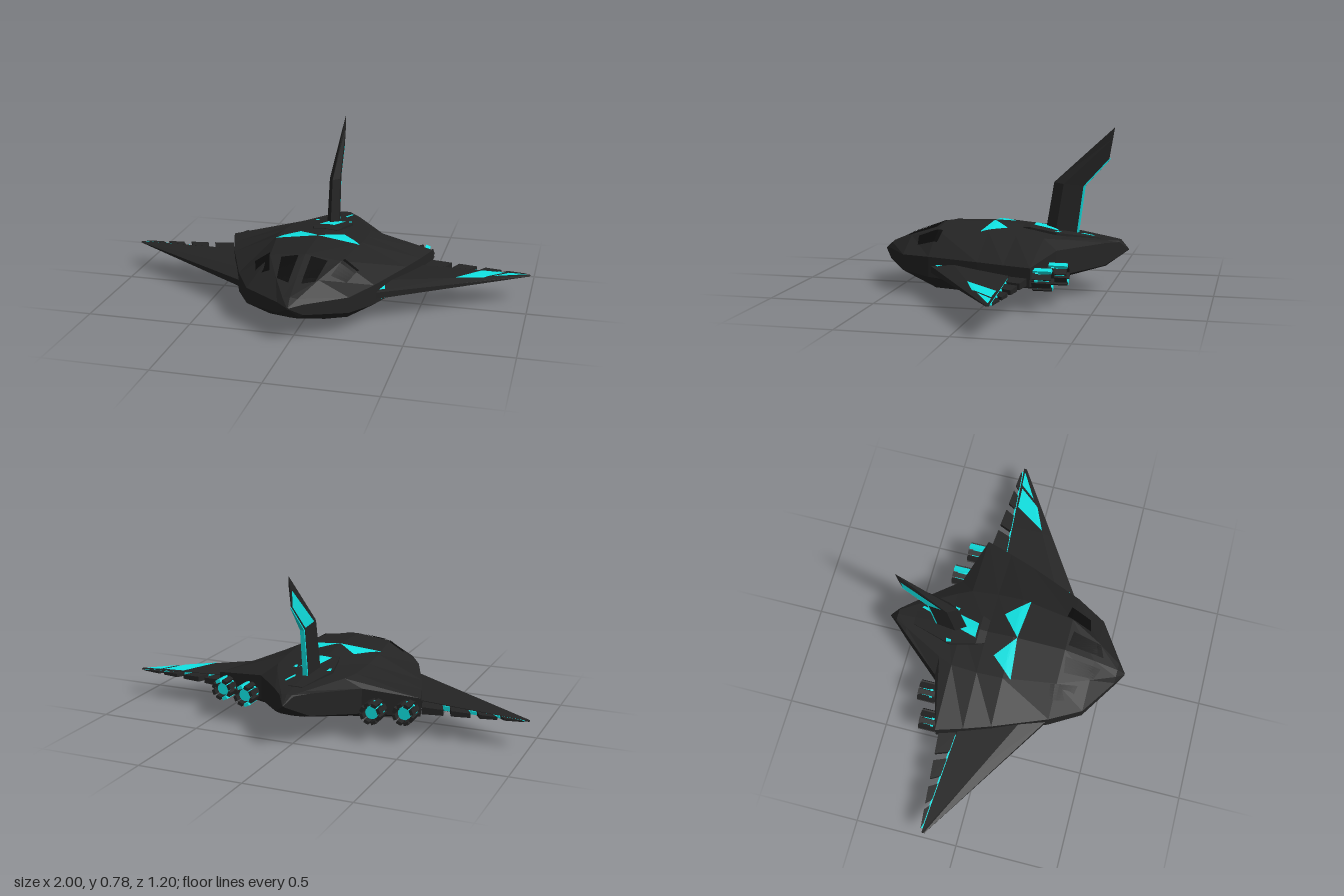
import * as THREE from 'three';

const mat = (color) => new THREE.MeshStandardMaterial({ color, flatShading: true, side: THREE.DoubleSide });
const dark = mat(0x242424), black = mat(0x0c0c0c), glow = mat(0x10e4e4);
const lerp = THREE.MathUtils.lerp;

// Piecewise-linear lookup through [key, value] points sorted by rising key
function along(points, k) {
  let i = 0;
  while (i < points.length - 2 && k > points[i + 1][0]) i++;
  const [a, b] = [points[i], points[i + 1]];
  return lerp(a[1], b[1], THREE.MathUtils.clamp((k - a[0]) / (b[0] - a[0] || 1), 0, 1));
}

function build(name, tris, material) {
  const g = new THREE.BufferGeometry();
  g.setAttribute('position', new THREE.Float32BufferAttribute(tris.flat(2), 3));
  g.computeVertexNormals();
  const mesh = new THREE.Mesh(g, material);
  mesh.name = name;
  return mesh;
}

// Closed solid through rings of equal point count, turned to face outward
function loft(name, rings, material) {
  const tris = [], n = rings[0].length;
  for (let r = 0; r < rings.length - 1; r++) {
    for (let i = 0; i < n; i++) {
      const j = (i + 1) % n, A = rings[r], B = rings[r + 1];
      tris.push([A[i], A[j], B[j]], [A[i], B[j], B[i]]);
    }
  }
  const first = rings[0], last = rings[rings.length - 1];
  for (let i = 1; i < n - 1; i++) {
    tris.push([first[0], first[i + 1], first[i]], [last[0], last[i], last[i + 1]]);
  }
  const v = (p) => new THREE.Vector3(...p);
  const volume = tris.reduce((s, [a, b, c]) => s + v(a).dot(v(b).cross(v(c))), 0);
  if (volume < 0) tris.forEach((t) => t.reverse());
  return build(name, tris, material);
}

// Thin panel over four plan corners [x, z], draped on a height function
function panel(name, [a, b, c, d], height, material, mirror = 1) {
  const n = 6, tris = [];
  const at = (u, w) => {
    const x = lerp(lerp(a[0], b[0], u), lerp(d[0], c[0], u), w);
    const z = lerp(lerp(a[1], b[1], u), lerp(d[1], c[1], u), w);
    return [x * mirror, height(x, z), z];
  };
  for (let i = 0; i < n; i++) for (let j = 0; j < n; j++) {
    const p = at(i / n, j / n), q = at((i + 1) / n, j / n);
    const r = at((i + 1) / n, (j + 1) / n), s = at(i / n, (j + 1) / n);
    tris.push([p, q, r], [p, r, s]);
  }
  const up = new THREE.Vector3().fromArray(tris[0][1]).sub(new THREE.Vector3(...tris[0][0]))
    .cross(new THREE.Vector3(...tris[0][2]).sub(new THREE.Vector3(...tris[0][0]))).y;
  if (up < 0) tris.forEach((t) => t.reverse());
  return build(name, tris, material);
}

// Hull stations: z, half width, top, shoulder x/y, side upper/lower y, keel shoulder x/y, bottom
const hull = [
  [0.6, 0.004, 0.174, 0.003, 0.173, 0.172, 0.168, 0.003, 0.167, 0.166],
  [0.56, 0.06, 0.21, 0.035, 0.205, 0.18, 0.13, 0.04, 0.118, 0.113],
  [0.44, 0.24, 0.262, 0.10, 0.255, 0.185, 0.11, 0.13, 0.07, 0.058],
  [0.29, 0.325, 0.318, 0.17, 0.298, 0.195, 0.10, 0.2, 0.025, 0.002],
  [0.03, 0.43, 0.325, 0.21, 0.302, 0.2, 0.10, 0.29, 0.03, 0.02],
  [-0.1, 0.475, 0.311, 0.21, 0.29, 0.2, 0.105, 0.31, 0.055, 0.045],
  [-0.23, 0.515, 0.292, 0.2, 0.28, 0.2, 0.115, 0.3, 0.085, 0.075],
  [-0.3, 0.255, 0.28, 0.17, 0.273, 0.235, 0.115, 0.2, 0.097, 0.09],
  [-0.5, 0.085, 0.26, 0.06, 0.258, 0.25, 0.145, 0.06, 0.138, 0.135],
  [-0.56, 0.034, 0.255, 0.025, 0.253, 0.248, 0.183, 0.025, 0.18, 0.178],
  [-0.6, 0.003, 0.213, 0.002, 0.212, 0.212, 0.208, 0.002, 0.208, 0.207],
];
const hullRing = ([z, w, top, sx, sy, up, lo, bx, by, bot]) => {
  const half = [[sx, sy, z], [w, up, z], [w, lo, z], [bx, by, z]];
  return [[0, top, z], ...half, [0, bot, z], ...half.map(([x, y]) => [-x, y, z]).reverse()];
};
function hullTop(x, z) {
  const s = [...hull].reverse();
  const get = (i) => along(s.map((h) => [h[0], h[i]]), z);
  return along([[0, get(2)], [get(3), get(4)], [get(1), get(5)]], Math.abs(x));
}
const onHull = (x, z) => hullTop(x, z) + 0.004;

// Wing section rules: leading z, trailing z and half thickness by span
const WING_Y = 0.137;
const span = (x) => (x - 0.3) / 0.7;
const lead = (x) => lerp(0.295, -0.15, span(x));
const trail = (x) => lerp(-0.115, -0.165, span(x));
const thick = (x) => lerp(0.041, 0.003, span(x));
const wingHalf = (x, z) => {
  const l = lead(x), b = trail(x), t = thick(x);
  return along([[b, t * 0.6], [lerp(l, b, 0.25), t], [l, t * 0.4]], z);
};

function makeWing(s) {
  const wing = new THREE.Group();
  wing.name = s > 0 ? 'leftWing' : 'rightWing';
  const ring = (x) => {
    const l = lead(x), b = trail(x), m = lerp(l, b, 0.25);
    const pts = [l, m, b].map((z) => [z, wingHalf(x, z)]);
    return [...pts.map(([z, h]) => [x * s, WING_Y + h, z]),
      ...pts.reverse().map(([z, h]) => [x * s, WING_Y - h, z])];
  };
  wing.add(loft('wingBlade', [0.3, 0.65, 1].map(ring), dark));

  // Glowing line along the trailing edge, with split flaps behind it
  const bar = (x, z0, z1, h, skew = 0) => [[x * s, WING_Y + h, z0], [(x + skew) * s, WING_Y + h, z1],
    [(x + skew) * s, WING_Y - h, z1], [x * s, WING_Y - h, z0]];
  wing.add(loft('trailingGlow', [0.5, 0.98].map((x) =>
    bar(x, trail(x) + 0.01, trail(x) - 0.008, thick(x) * 0.45)), glow));
  for (const [x0, x1] of [[0.49, 0.59], [0.625, 0.715], [0.755, 0.835], [0.865, 0.955]]) {
    wing.add(loft('flap', [x0, x1].map((x) =>
      bar(x, trail(x) - 0.004, lerp(-0.215, -0.172, (x - 0.49) / 0.49), thick(x) * 0.55, 0.025)), dark));
  }
  // Coloured panels on the left wing, above and below
  if (s > 0) {
    for (const f of [1, -1]) {
      const skin = (x, z) => WING_Y + f * (wingHalf(x, z) + 0.003);
      wing.add(panel('wingPanel', [[0.66, 0.016], [0.79, -0.04], [0.88, -0.145], [0.77, -0.14]], skin, glow));
      wing.add(panel('tipPanel', [[0.83, -0.07], [0.975, -0.152], [0.975, -0.155], [0.9, -0.15]], skin, glow));
      wing.add(panel('rootStripe', [[0.335, 0.255], [0.365, 0.235], [0.355, 0.19], [0.335, 0.2]], skin, glow));
    }
  }
  return wing;
}

// Thruster: dark collar, glowing core and a ring of petals
function makeThruster(x, z) {
  const t = new THREE.Group();
  t.name = 'thruster';
  const cyl = (name, r, len, dz, m) => {
    const c = new THREE.Mesh(new THREE.CylinderGeometry(r, r, len, 12), m);
    c.name = name;
    c.rotation.x = Math.PI / 2;
    c.position.z = dz;
    t.add(c);
  };
  cyl('collar', 0.043, 0.07, 0.045, dark);
  cyl('glowRing', 0.046, 0.014, 0.015, glow);
  cyl('core', 0.03, 0.05, -0.005, glow);
  for (let i = 0; i < 8; i++) {
    const a = (i / 8) * Math.PI * 2 + Math.PI / 8;
    const petal = new THREE.Mesh(new THREE.BoxGeometry(0.015, 0.025, 0.085),
      x > 0 && i % 4 === 1 ? glow : dark);
    petal.name = 'petal';
    petal.position.set(Math.cos(a) * 0.043, Math.sin(a) * 0.043, -0.008);
    petal.rotation.z = a;
    t.add(petal);
  }
  t.position.set(x, 0.142, z);
  return t;
}

export function createModel() {
  const model = new THREE.Group();
  model.name = 'aircraft';
  model.add(loft('hull', hull.map(hullRing), dark));

  for (const s of [1, -1]) {
    model.add(makeWing(s), makeThruster(0.46 * s, -0.27), makeThruster(0.32 * s, -0.315));
    // Cockpit windows and deck chevrons
    model.add(panel('innerWindow', [[0.03, 0.3], [0.11, 0.31], [0.09, 0.455], [0.03, 0.48]], onHull, black, s));
    model.add(panel('outerWindow', [[0.18, 0.26], [0.25, 0.27], [0.215, 0.375], [0.145, 0.39]], onHull, black, s));
    model.add(panel('chevron', [[0, 0.05], [0.11, -0.04], [0.21, 0.07], [0.1, 0.06]], onHull, glow, s));
    model.add(panel('deckMark', [[0.075, -0.29], [0.095, -0.285], [0.09, -0.26], [0.078, -0.265]],
      (x, z) => hullTop(x, z) + 0.016, glow, s));
  }

  // Raised plinth under the fin
  const plinth = [[-0.1, 0.06], [-0.14, 0.075], [-0.27, 0.1], [-0.47, 0.035]];
  model.add(loft('finPlinth', plinth.map(([z, w], i) => {
    const h = i === 0 || i === 3 ? 0.003 : 0.012;
    return [[-w, hullTop(w, z) + h, z], [0, hullTop(0, z) + h, z], [w, hullTop(w, z) + h, z],
      [w, 0.24, z], [-w, 0.24, z]];
  }), dark));
  const onPlinth = (x, z) => hullTop(x, z) + 0.016;
  model.add(panel('plinthGlow', [[-0.045, -0.15], [0.03, -0.15], [0.065, -0.28], [-0.02, -0.23]], onPlinth, glow));
  model.add(panel('plinthStripe', [[0.035, -0.39], [0.055, -0.45], [0.065, -0.44], [0.045, -0.37]], onPlinth, glow));

  // Swept fin levels: front z/y, back z/y, half thickness
  const fin = [[-0.2, 0.28, -0.352, 0.28, 0.03], [-0.24, 0.52, -0.382, 0.505, 0.026], [-0.527, 0.785, -0.502, 0.637, 0.003]];
  const finPoint = ([fz, fy, bz, by], k, x) => [x, lerp(fy, by, k), lerp(fz, bz, k)];
  model.add(loft('fin', fin.map((f) => [[0, 0], [0.35, 1], [1, 0.45], [1, -0.45], [0.35, -1]]
    .map(([k, w]) => finPoint(f, k, w * f[4]))), dark));
  model.add(loft('finGlow', fin.map(([, , bz, by, t]) => [[-1, 0.003], [1, 0.003], [1, -0.008], [-1, -0.008]]
    .map(([w, dz]) => [w * t * 0.4, by, bz + dz])), glow));
  // Coloured panel on the right face of the upper fin
  const side = (u, k) => {
    const f = fin[1].map((v, i) => lerp(v, fin[2][i], u));
    return finPoint(f, k, -f[4] * along([[0, 0], [0.35, 1], [1, 0.45]], k) - 0.003);
  };
  const [p, q, r, o] = [side(0.08, 0.4), side(0.95, 0.4), side(0.95, 0.95), side(0.08, 0.95)];
  model.add(build('finPanel', [[p, q, r], [p, r, o]], glow));
  return model;
}
